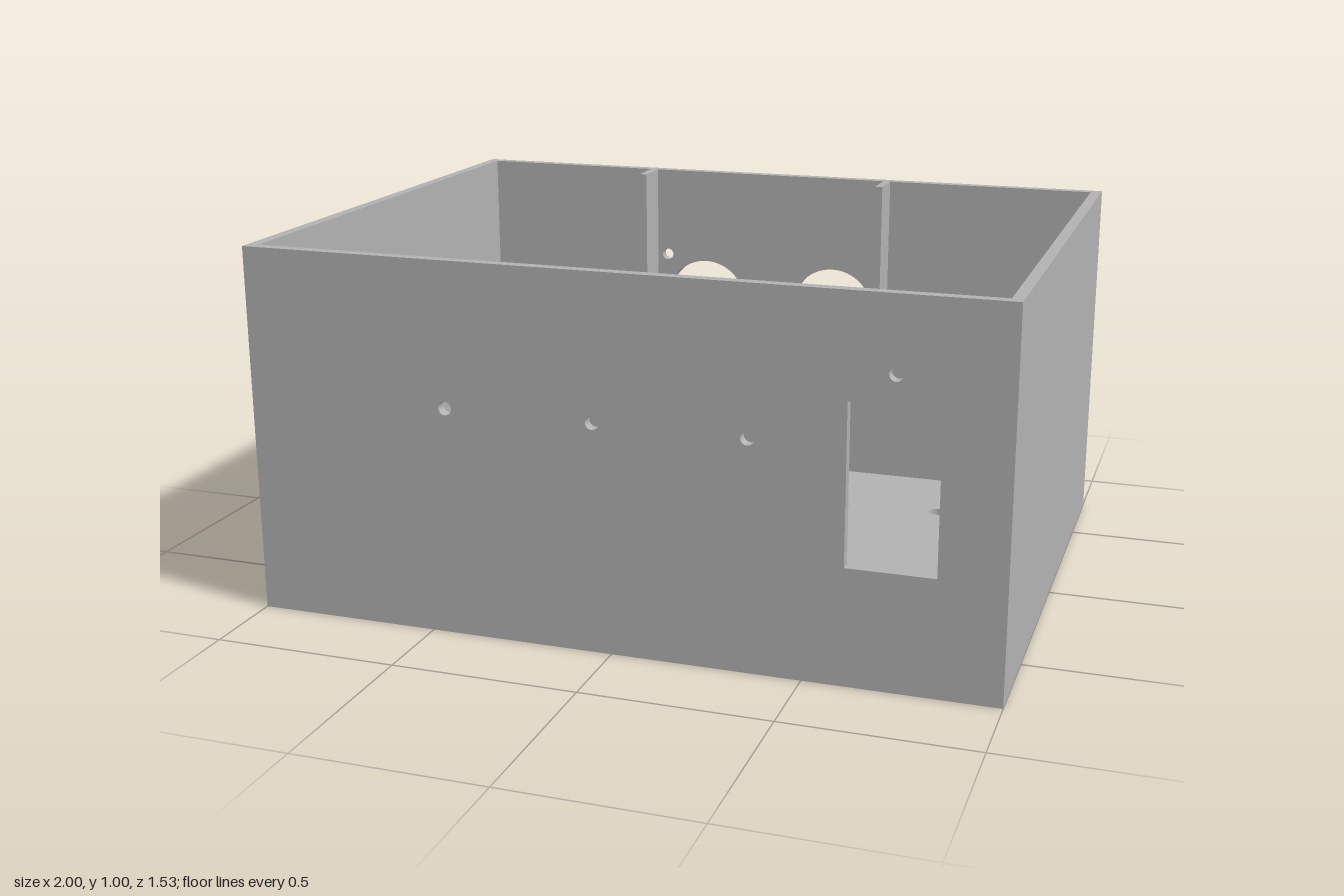
import * as THREE from 'three';

const W = 2, H = 0.995, D = 1.53; // outer size
const T = 0.03, FLOOR = 0.04;     // wall and floor thickness

// Rectangular outline, usable as a shape or a hole
function rect(path, x0, y0, x1, y1) {
  path.moveTo(x0, y0);
  path.lineTo(x1, y0);
  path.lineTo(x1, y1);
  path.lineTo(x0, y1);
  path.closePath();
  return path;
}

const rectHole = (x0, y0, x1, y1) => rect(new THREE.Path(), x0, y0, x1, y1);
const roundHole = (x, y, r) => new THREE.Path().absarc(x, y, r, 0, Math.PI * 2, true);

// Rectangular plate with holes, extruded along +z from 0
function plate(x0, y0, x1, y1, depth, holes) {
  const shape = rect(new THREE.Shape(), x0, y0, x1, y1);
  shape.holes.push(...holes);
  return new THREE.ExtrudeGeometry(shape, { depth, bevelEnabled: false, curveSegments: 32 });
}

// Box given by its minimum and maximum corners
function block(x0, y0, z0, x1, y1, z1) {
  return new THREE.BoxGeometry(x1 - x0, y1 - y0, z1 - z0)
    .translate((x0 + x1) / 2, (y0 + y1) / 2, (z0 + z1) / 2);
}

export function createModel() {
  const group = new THREE.Group();
  const grey = new THREE.MeshStandardMaterial({ color: 0xb2b2b2 });
  grey.name = 'grey plastic';
  const add = (name, geometry) => {
    const mesh = new THREE.Mesh(geometry, grey);
    mesh.name = name;
    group.add(mesh);
  };
  const zIn = D / 2 - T, xIn = W / 2 - T;

  // Front wall: switch window and indicator holes
  add('frontWall', plate(-W / 2, 0, W / 2, H, T, [
    rectHole(0.603, 0.31, 0.83, 0.727),
    roundHole(0.718, 0.803, 0.018),
    ...[-0.443, -0.043, 0.358].map((x) => roundHole(x, 0.612, 0.018)),
  ]).translate(0, 0, zIn));

  // Back wall: two large round openings, a slot and two screw holes
  add('backWall', plate(-W / 2, 0, W / 2, H, T, [
    roundHole(0.18, 0.575, 0.13),
    roundHole(-0.24, 0.575, 0.13),
    rectHole(-0.107, 0.4, 0.05, 0.49),
    roundHole(0.314, 0.427, 0.018),
    roundHole(-0.372, 0.72, 0.018),
  ]).translate(0, 0, -D / 2));

  // Plain side walls
  add('leftWall', block(xIn, 0, -zIn, W / 2, H, zIn));
  add('rightWall', block(-W / 2, 0, -zIn, -xIn, H, zIn));

  // Floor, drawn in x and z, then laid flat
  const holes = [];
  for (const s of [-1, 1]) {
    const a = s * 0.8;
    holes.push(rectHole(a - 0.1, -0.235, a + 0.1, 0.122));
    holes.push(roundHole(a, -0.28, 0.018), roundHole(a, 0.165, 0.018));
  }
  for (const [x, z] of [[-0.37, -0.58], [0.075, -0.58], [0.6, -0.44],
    [-0.615, 0.233], [0.155, 0.253], [0.295, 0.2]]) {
    holes.push(roundHole(x, z, 0.026));
  }
  add('floor', plate(-xIn, -zIn, xIn, zIn, FLOOR, holes)
    .rotateX(Math.PI / 2).translate(0, FLOOR, 0));

  // Bracket on the back wall: two upright ribs joined by a shelf
  const zFront = -0.627, yLow = 0.365, yShelf = 0.387;
  add('rightRib', block(-0.428, yLow, -zIn, -0.405, H, zFront));
  add('leftRib', block(0.336, yLow, -zIn, 0.358, H, zFront));
  add('shelf', block(-0.405, yLow, -zIn, 0.336, yShelf, zFront));

  return group;
}
